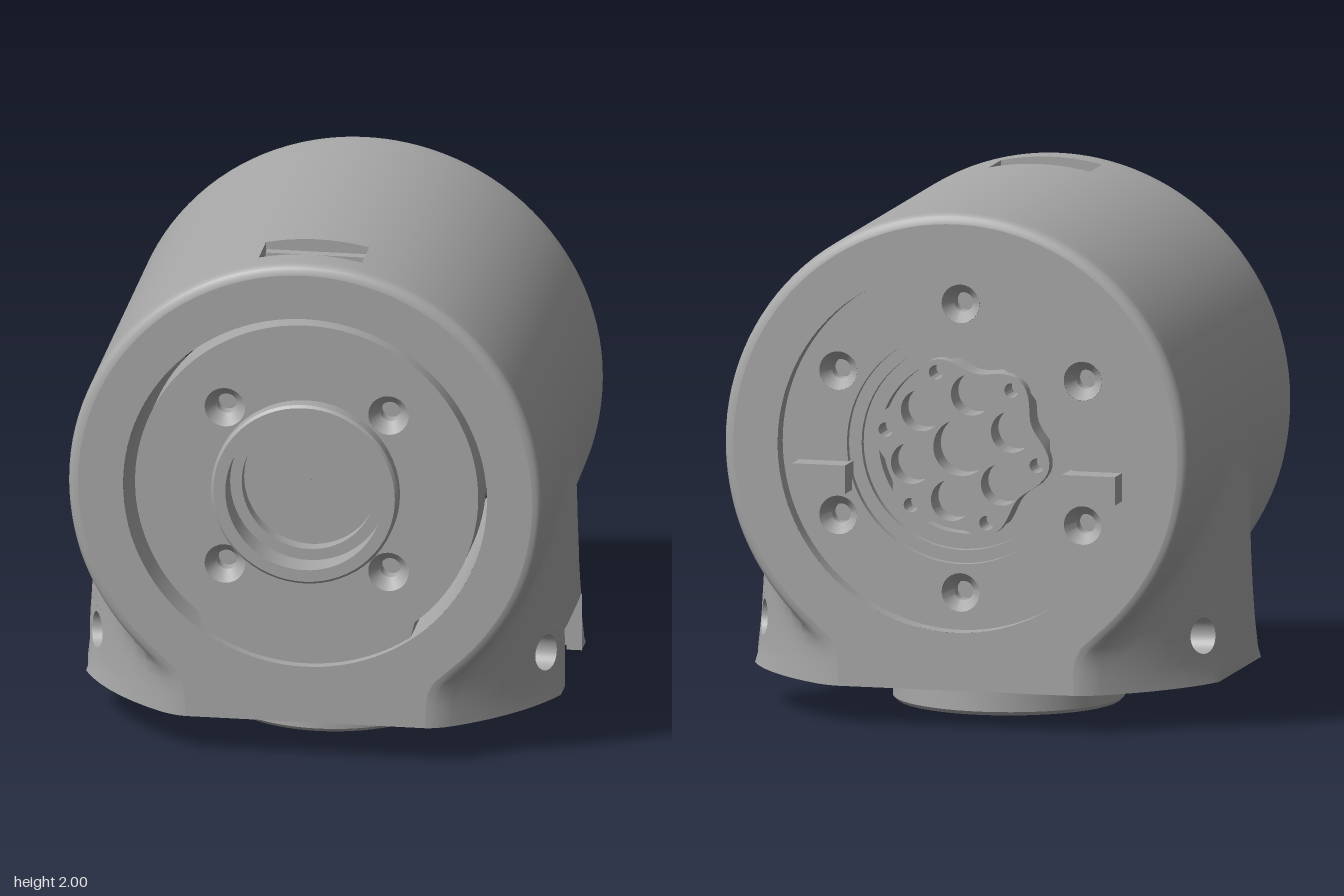
import * as THREE from 'three';
import { toCreasedNormals } from 'three/addons/utils/BufferGeometryUtils.js';

const R = 0.92, CY = 1.08, Z = 0.775, EDGE = 0.04, BASE = 0.15, NOTCH = 0.21, CEIL = 0.38;
const COVER = 0.735, PLATE = 0.7;
const grey = new THREE.MeshStandardMaterial({ color: 0xa8a8a8 });
grey.name = 'satin grey';

function add(parent, name, geo, crease = 0.6) {
  const mesh = new THREE.Mesh(toCreasedNormals(geo, crease), grey);
  mesh.name = name;
  parent.add(mesh);
  return mesh;
}

// Grid surface of fn(i, j) -> [x, y, z]; faces point along di x dj unless flipped
function surface(ni, nj, fn, flip = false, skip = () => false) {
  const pos = [], idx = [];
  for (let i = 0; i < ni; i++) for (let j = 0; j < nj; j++) pos.push(...fn(i, j));
  for (let i = 0; i < ni - 1; i++) for (let j = 0; j < nj - 1; j++) {
    if (skip(i, j)) continue;
    const a = i * nj + j, b = a + nj, c = a + 1, d = b + 1;
    if (flip) idx.push(a, c, b, b, c, d);
    else idx.push(a, b, c, b, d, c);
  }
  const g = new THREE.BufferGeometry();
  g.setAttribute('position', new THREE.Float32BufferAttribute(pos, 3));
  g.setIndex(idx);
  return g;
}

// Turn a closed geometry into a cavity
function insideOut(geo) {
  const g = geo.index ? geo.toNonIndexed() : geo;
  const p = g.attributes.position;
  for (let t = 0; t < p.count; t += 3) {
    const b = [p.getX(t + 1), p.getY(t + 1), p.getZ(t + 1)];
    p.setXYZ(t + 1, p.getX(t + 2), p.getY(t + 2), p.getZ(t + 2));
    p.setXYZ(t + 2, ...b);
  }
  return g;
}

const poly = pts => new THREE.Shape(pts.map(p => new THREE.Vector2(p[0], p[1])));
const circle = (x, y, r) => new THREE.Path().absarc(x, y, r, 0, Math.PI * 2, true);
const disc = r => new THREE.Shape().absarc(0, 0, r, 0, Math.PI * 2, false);
const extrude = (shape, depth) =>
  new THREE.ExtrudeGeometry(shape, { depth, bevelEnabled: false, curveSegments: 48 });
// Turned part about the z axis, profile points are [radius, z]
const turned = (pts, n = 64) =>
  new THREE.LatheGeometry(pts.map(p => new THREE.Vector2(p[0], p[1])), n).rotateX(Math.PI / 2);
// Countersunk screw hole
const screwWell = (parent, x, y, z, r) => add(parent, 'screwHole',
  turned([[r, 0], [r / 2, -0.05], [r / 2, -0.1], [0.001, -0.1]], 24).translate(x, y, z));

// Inset of the rounded front and back edges
function inset(z) {
  const t = Math.max(0, EDGE - (Z - Math.abs(z)));
  return EDGE - Math.sqrt(Math.max(0, EDGE * EDGE - t * t));
}
// Half width below the axis: lying barrel softly blended with an upright round skirt
function halfWidth(y, z) {
  const d = inset(z);
  const a = Math.sqrt(Math.max(0, (R - d) ** 2 - (y - CY) ** 2));
  const b = Math.sqrt(R * R - z * z) - d;
  const soft = 0.55 - 0.4 * (z / Z) ** 2;
  const k = soft * (R - Math.min(a, b)) * Math.min(1, Math.max(0, (CY - y) / 0.3));
  return Math.min(R - d, (a + b + Math.hypot(a - b, k)) / 2);
}

// Grid lines, aligned with the cut-outs
const half = [0, 0.07, 0.14, NOTCH, 0.265, 0.31, 0.355, 0.4, 0.445, 0.46, 0.52, 0.58, 0.64, 0.69, 0.735,
  0.745, 0.755, 0.764, 0.771, Z];
const zs = [...half.slice(1).reverse().map(z => -z), ...half];
const ys = [BASE, 0.2, 0.245, 0.29, 0.335, CEIL, 0.425];
for (let i = 1; i <= 20; i++) ys.push(0.425 + (CY - 0.425) * i / 20);
const slotA = Math.acos(0.2 / R);
const arc = [];
for (let i = 1; i <= 24; i++) arc.push(slotA * i / 24);
for (let i = 1; i <= 10; i++) arc.push(slotA + (Math.PI - 2 * slotA) * i / 10);
for (let i = 1; i < 24; i++) arc.push(Math.PI - slotA + slotA * i / 24);
const rows = [...ys.map(y => ({ y, s: 1 })), ...arc.map(a => ({ a })),
  ...ys.slice().reverse().map(y => ({ y, s: -1 }))];
const section = (row, z) => row.s
  ? [row.s * halfWidth(row.y, z), row.y, z]
  : [(R - inset(z)) * Math.cos(row.a), CY + (R - inset(z)) * Math.sin(row.a), z];

function housing(g) {
  const skip = (i, j) => {
    const p = rows[i], q = rows[i + 1], z = (zs[j] + zs[j + 1]) / 2;
    if (p.s && q.s) {
      const y = (p.y + q.y) / 2;
      if (p.s > 0 && y < CEIL && Math.abs(z) < NOTCH) return true;
      return Math.abs(y - 0.335) < 0.09 && Math.abs(Math.abs(z) - 0.355) < 0.09;
    }
    return p.a && q.a && Math.abs(Math.cos((p.a + q.a) / 2)) < 0.2 / R && z > 0.46 && z < 0.64;
  };
  add(g, 'housingShell', surface(rows.length, zs.length, (i, j) => section(rows[i], zs[j]), false, skip), 0.7);

  // End faces with the round opening, and the barrel lining
  const face = poly(rows.map(r => section(r, Z)));
  face.holes.push(circle(0, CY, 0.705));
  const cap = () => new THREE.ShapeGeometry(face, 64);
  add(g, 'frontRim', cap().translate(0, 0, Z));
  add(g, 'backRim', cap().rotateY(Math.PI).translate(0, 0, -Z));
  add(g, 'barrelLining', insideOut(new THREE.CylinderGeometry(0.705, 0.705, 2 * Z, 96, 1, true)
    .rotateX(Math.PI / 2).translate(0, CY, 0)));

  // Counterbored mounting holes in the skirt
  for (const s of [1, -1]) for (const hz of [0.355, -0.355]) {
    const at = (r, t) => [0.335 + r * Math.cos(t), hz + r * Math.sin(t)];
    const ang = j => j / 32 * Math.PI * 2;
    add(g, 'holeSurround', surface(5, 33, (i, j) => {
      const t = ang(j), sq = 0.09 / Math.max(Math.abs(Math.cos(t)), Math.abs(Math.sin(t)));
      const [y, z] = at(0.07 + (sq - 0.07) * i / 4, t);
      return [s * halfWidth(y, z), y, z];
    }, s < 0));
    const bore = [[0.035, 0.62], [0.035, 0.76], [0.07, 0.76], [0.07, 0]];
    add(g, 'holeBore', surface(4, 33, (i, j) => {
      const [y, z] = at(bore[i][0], ang(j));
      return [s * (bore[i][1] || halfWidth(y, z)), y, z];
    }, s < 0));
  }

  // Shallow window pocket on top
  const rim = [];
  for (let i = 0; i <= 10; i++) rim.push([0.2 - 0.04 * i, 0.46]);
  for (let i = 0; i <= 10; i++) rim.push([-0.2 + 0.04 * i, 0.64]);
  rim.push(rim[0]);
  add(g, 'topPocketWalls', surface(rim.length, 2, (i, j) => {
    const [x, z] = rim[i];
    return [x, j ? CY + Math.sqrt(R * R - x * x) : 1.92, z];
  }, true));
  add(g, 'topPocketFloor', new THREE.PlaneGeometry(0.4, 0.18).rotateX(-Math.PI / 2).translate(0, 1.92, 0.55));
  add(g, 'topPocketStep', new THREE.BoxGeometry(0.39, 0.03, 0.04).translate(0, 1.935, 0.48));
}

function underside(g) {
  const wall = [[0.86, 0.26], [0.6, 0.26], [0.6, 0.5], [0.5, 0.55]];
  const mirrored = wall.slice().reverse().map(([x, z]) => [x, -z]);
  const edge = halfWidth(BASE, NOTCH);
  const right = [[edge, NOTCH], [0.86, NOTCH], ...wall, ...mirrored, [0.86, -NOTCH], [edge, -NOTCH]];
  const left = [...wall, ...mirrored].map(([x, z]) => [-x, z]);
  const side = s => zs.map(z => [s * halfWidth(BASE, z), z]);
  const down = side(1).reverse();
  const plate = poly([...down.filter(p => p[1] > NOTCH), ...right, ...down.filter(p => p[1] < -NOTCH), ...side(-1)]);
  plate.holes.push(poly(left));
  const flat = (shape, y) => new THREE.ShapeGeometry(shape).rotateX(Math.PI / 2).translate(0, y, 0);
  add(g, 'basePlate', flat(plate, BASE));

  // Side pockets; the one on +x opens through the skirt
  const walls = (chain, flip, skip) => surface(chain.length, 2,
    (i, j) => [chain[i][0], j ? CEIL : BASE, chain[i][1]], flip, skip);
  add(g, 'openPocketWalls', walls(right, false, i => i === 5));
  add(g, 'closedPocketWalls', walls([...left, left[0]], true));
  add(g, 'openPocketCeiling', flat(poly(right), CEIL));
  add(g, 'closedPocketCeiling', flat(poly(left), CEIL));

  // Panel with an oblong slot behind the notch
  const oblong = new THREE.Shape();
  oblong.absarc(0.09, 0.285, 0.073, -Math.PI / 2, Math.PI / 2, false);
  oblong.absarc(-0.115, 0.285, 0.073, Math.PI / 2, Math.PI * 1.5, false);
  const panel = poly([[-0.55, BASE], [0.55, BASE], [0.55, CEIL], [-0.55, CEIL]]);
  panel.holes.push(new THREE.Path(oblong.getPoints(12)));
  add(g, 'slotPanel', new THREE.ShapeGeometry(panel).rotateY(Math.PI / 2).translate(0.5, 0, 0));
  add(g, 'slotCavity', insideOut(extrude(oblong, 0.1).rotateY(Math.PI / 2).translate(0.4, 0, 0)));

  // Mounting flange with six holes and a centre bore
  const ring = disc(0.43);
  ring.holes.push(circle(0, 0, 0.185));
  for (let i = 0; i < 6; i++) {
    const a = (i + 0.25) * Math.PI / 3;
    ring.holes.push(circle(0.32 * Math.cos(a), 0.32 * Math.sin(a), 0.042));
  }
  add(g, 'mountingFlange', new THREE.ExtrudeGeometry(ring, { depth: 0.15, bevelThickness: 0.015,
    bevelSize: 0.015, bevelSegments: 1, curveSegments: 32 }).rotateX(Math.PI / 2).translate(0, 0.165, 0.015));
  add(g, 'flangeBore', insideOut(new THREE.CylinderGeometry(0.17, 0.17, 0.4, 48).translate(0, 0.22, 0.015)));
  add(g, 'locatingBlock', new THREE.BoxGeometry(0.17, 0.31, 0.13).translate(-0.525, 0.225, 0));
}

function frontCover(g) {
  // Round cover joined to the rim along its lower arc, with flared ends
  const a0 = -Math.PI / 2 + 0.61, a1 = Math.PI * 1.5 - 0.61;
  const s = new THREE.Shape();
  s.absarc(0, 0, 0.665, a0 + 0.07, a1 - 0.07, false);
  s.absarc(0, 0, 0.705, a1, a0 + Math.PI * 2, false);
  s.holes.push(circle(0, 0, 0.355));
  const at = [];
  for (const x of [-0.317, 0.317]) for (const y of [-0.317, 0.317]) at.push([x, y]);
  at.forEach(([x, y]) => s.holes.push(circle(x, y, 0.078)));
  add(g, 'coverPlate', extrude(s, 0.2).translate(0, 0, COVER - 0.2));
  at.forEach(([x, y]) => screwWell(g, x, y, COVER, 0.078));
  add(g, 'bearingBoss', turned([[0.362, 0.7], [0.362, 0.79], [0.352, 0.8], [0.305, 0.8], [0.305, 0.68],
    [0.26, 0.68], [0.26, 0.62], [0.001, 0.62]]));
}

function backOutput(g) {
  const plate = disc(0.705);
  plate.holes.push(circle(0, 0, 0.45));
  for (let i = 0; i < 6; i++) {
    const a = Math.PI / 6 + i * Math.PI / 3, x = 0.56 * Math.cos(a), y = 0.56 * Math.sin(a);
    plate.holes.push(circle(x, y, 0.075));
    screwWell(g, x, y, PLATE, 0.075);
  }
  add(g, 'backPlate', new THREE.ShapeGeometry(plate, 64).translate(0, 0, PLATE));
  add(g, 'hubRecess', turned([[0.45, PLATE], [0.45, 0.67], [0.4, 0.67], [0.4, 0.64], [0.34, 0.64],
    [0.34, 0.58], [0.001, 0.58]]));

  // Lobed hub with weight-saving pockets
  const pts = [];
  for (let i = 0; i < 96; i++) {
    const a = i / 96 * Math.PI * 2, r = 0.325 + 0.03 * Math.cos(6 * a);
    pts.push([r * Math.cos(a), r * Math.sin(a)]);
  }
  const hub = poly(pts);
  hub.holes.push(circle(0, 0, 0.11));
  for (let i = 0; i < 6; i++) {
    const a = i * Math.PI / 3, b = a + Math.PI / 6;
    hub.holes.push(circle(0.305 * Math.cos(a), 0.305 * Math.sin(a), 0.028));
    hub.holes.push(circle(0.21 * Math.cos(b), 0.21 * Math.sin(b), 0.08));
  }
  add(g, 'outputHub', extrude(hub, 0.11).rotateZ(-0.19).translate(0, 0, 0.58));
  for (const s of [1, -1])
    add(g, 'stopTab', new THREE.BoxGeometry(0.21, 0.11, 0.12).translate(s * 0.535, -0.125, 0.74));
}

export function createModel() {
  const model = new THREE.Group();
  model.name = 'actuatorHousing';
  const part = (name, build, y = 0, turn = 0) => {
    const g = new THREE.Group();
    g.name = name;
    g.position.y = y;
    g.rotation.y = turn;
    build(g);
    model.add(g);
  };
  part('housing', housing);
  part('underside', underside);
  part('frontCover', frontCover, CY);
  part('backOutput', backOutput, CY, Math.PI);
  return model;
}
